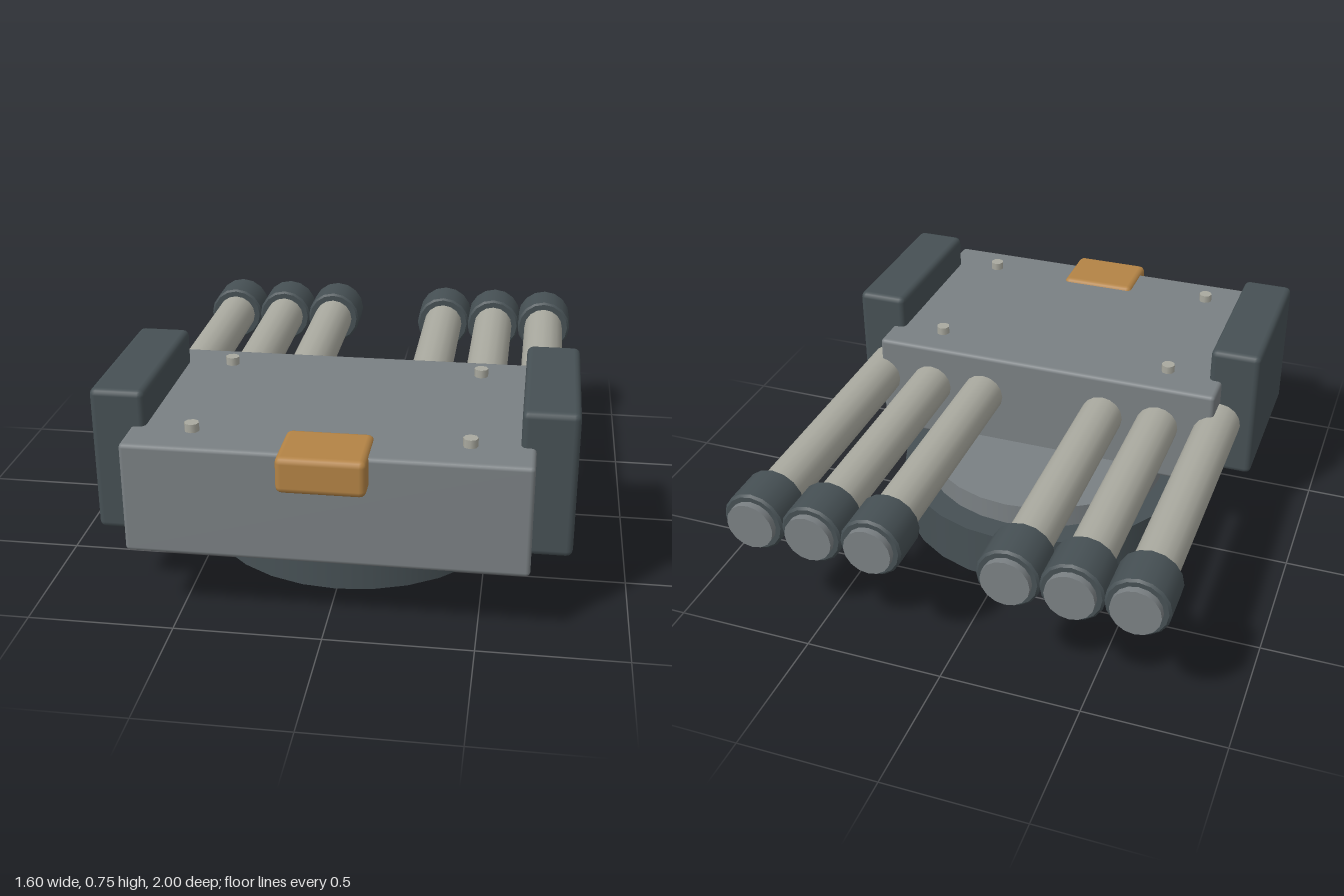
import * as THREE from 'three';
import { RoundedBoxGeometry } from 'three/addons/geometries/RoundedBoxGeometry.js';

const paint = (name, color) => {
  const m = new THREE.MeshStandardMaterial({ color });
  m.name = name;
  return m;
};

export function createModel() {
  const grey = paint('hull grey', 0x7a8083);
  const dark = paint('dark steel', 0x465054);
  const steel = paint('barrel steel', 0xa9a99f);
  const amber = paint('amber', 0xb38345);

  const model = new THREE.Group();
  model.name = 'turret';

  const add = (name, geometry, material, x, y, z, parent = model) => {
    const mesh = new THREE.Mesh(geometry, material);
    mesh.name = name;
    mesh.position.set(x, y, z);
    parent.add(mesh);
    return mesh;
  };

  // Box given by its limits on each axis
  const box = (name, material, [x0, x1], [y0, y1], [z0, z1], r) =>
    add(name, new RoundedBoxGeometry(x1 - x0, y1 - y0, z1 - z0, 2, r), material,
      (x0 + x1) / 2, (y0 + y1) / 2, (z0 + z1) / 2);

  // Turntable
  add('base', new THREE.CylinderGeometry(0.56, 0.56, 0.192, 28), dark, 0, 0.096, 0.115);
  add('turntable', new THREE.CylinderGeometry(0.465, 0.465, 0.085, 28), grey, 0, 0.2325, 0.115);

  // Housing, sight and side armour
  box('housing', grey, [-0.665, 0.665], [0.245, 0.632], [0.055, 0.935], 0.015);
  box('sight', amber, [-0.145, 0.145], [0.52, 0.645], [0.765, 0.998], 0.022);
  box('leftArmour', dark, [0.615, 0.8], [0.245, 0.755], [0.175, 0.79], 0.022);
  box('rightArmour', dark, [-0.8, -0.615], [0.245, 0.755], [0.175, 0.79], 0.022);

  // Roof bolts
  const boltGeo = new THREE.CylinderGeometry(0.025, 0.025, 0.05, 8);
  for (const x of [-0.455, 0.455])
    for (const z of [0.19, 0.795]) add('bolt', boltGeo, steel, x, 0.636, z);

  // Barrels along z, three on each side
  const alongZ = (r, z0, z1) =>
    new THREE.CylinderGeometry(r, r, z1 - z0, 16).rotateX(Math.PI / 2).translate(0, 0, (z0 + z1) / 2);
  const barrelGeo = alongZ(0.08, -0.95, 0.155);
  const tipGeo = alongZ(0.085, -1, -0.94);

  // Muzzle collar with chamfered rims
  const collarGeo = new THREE.LatheGeometry([
    [0, -0.0825], [0.102, -0.0825], [0.102, -0.0825], [0.11, -0.0745], [0.11, -0.0745],
    [0.11, 0.0745], [0.11, 0.0745], [0.102, 0.0825], [0.102, 0.0825], [0, 0.0825],
  ].map(([r, y]) => new THREE.Vector2(r, y)), 16).rotateX(Math.PI / 2);

  for (const side of [-1, 1])
    for (const x of [0.24, 0.455, 0.67]) {
      const gun = new THREE.Group();
      gun.name = side > 0 ? 'leftGun' : 'rightGun';
      gun.position.set(side * x, 0.47, 0);
      model.add(gun);
      add('barrel', barrelGeo, steel, 0, 0, 0, gun);
      add('muzzleCollar', collarGeo, dark, 0, 0, -0.8925, gun);
      add('muzzleTip', tipGeo, grey, 0, 0, 0, gun);
    }

  return model;
}
